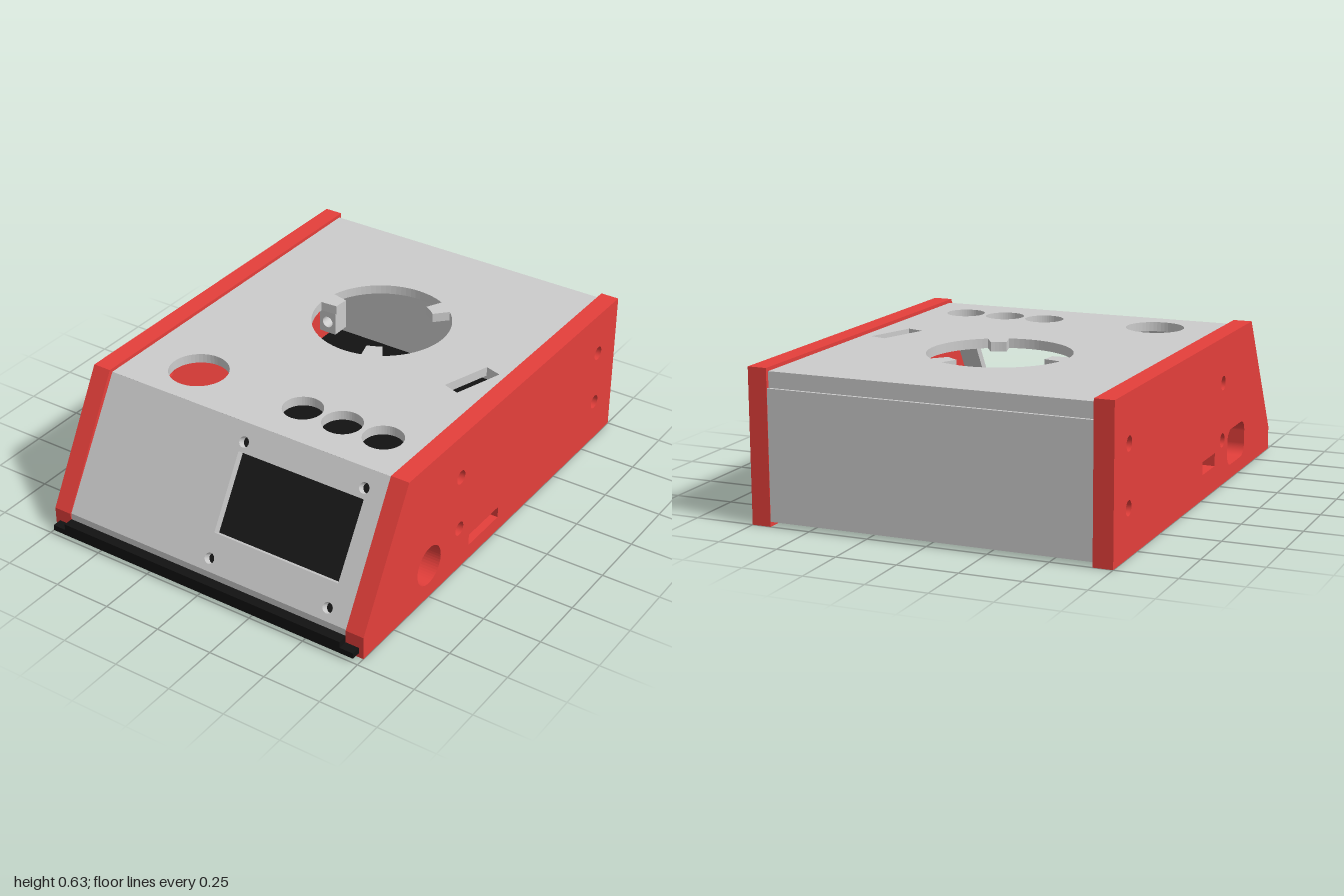
import * as THREE from 'three';

const material = (color) => new THREE.MeshStandardMaterial({ color });

function polygon(points, PathType = THREE.Path) {
  return new PathType(points.map(([x, y]) => new THREE.Vector2(x, y)));
}

function rect(x0, y0, x1, y1, PathType) {
  return polygon([[x0, y0], [x1, y0], [x1, y1], [x0, y1]], PathType);
}

function circle(x, y, r) {
  return new THREE.Path().absarc(x, y, r, 0, Math.PI * 2);
}

function roundedRect(x0, y0, x1, y1, r) {
  const p = new THREE.Path(), q = Math.PI / 2;
  p.absarc(x1 - r, y1 - r, r, 0, q);
  p.absarc(x0 + r, y1 - r, r, q, 2 * q);
  p.absarc(x0 + r, y0 + r, r, 2 * q, 3 * q);
  p.absarc(x1 - r, y0 + r, r, 3 * q, 4 * q);
  p.closePath();
  return p;
}

function extrude(shape, holes, depth) {
  shape.holes.push(...holes);
  return new THREE.ExtrudeGeometry(shape, { depth, bevelEnabled: false, curveSegments: 24 });
}

// Round opening with three locking tabs reaching inward
function tabbedOpening(cx, cy, outer, inner, tabAngles, halfWidth) {
  const points = [];
  tabAngles.forEach((angle, i) => {
    const next = tabAngles[(i + 1) % 3] + (i === 2 ? 360 : 0);
    const arc = (r, from, to, n) => {
      for (let k = 0; k <= n; k++) {
        const a = THREE.MathUtils.degToRad(from + (to - from) * k / n);
        points.push([cx + r * Math.cos(a), cy + r * Math.sin(a)]);
      }
    };
    arc(inner, angle - halfWidth, angle + halfWidth, 4);
    arc(outer, angle + halfWidth, next - halfWidth, 24);
  });
  return polygon(points);
}

export function createModel() {
  const model = new THREE.Group();
  const grey = material(0xcccccc), red = material(0xe53f3b), black = material(0x121212);

  function add(name, geometry, mat) {
    const mesh = new THREE.Mesh(geometry, mat);
    mesh.name = name;
    model.add(mesh);
    return mesh;
  }
  function box(name, mat, x0, x1, y0, y1, z0, z1) {
    add(name, new THREE.BoxGeometry(x1 - x0, y1 - y0, z1 - z0), mat)
      .position.set((x0 + x1) / 2, (y0 + y1) / 2, (z0 + z1) / 2);
  }
  // Shape drawn in (z, y), extruded from x toward -x
  function sideways(name, shape, holes, depth, x, mat) {
    const mesh = add(name, extrude(shape, holes, depth), mat);
    mesh.rotation.y = -Math.PI / 2;
    mesh.position.x = x;
  }

  // Side panels, each with four screw holes and its own port openings
  const ports = {
    left: [circle(0.5, 0.15, 0.085), rect(-0.03, 0.065, 0.2, 0.115)],
    right: [roundedRect(0.35, 0.06, 0.59, 0.215, 0.05), rect(0.02, 0.105, 0.18, 0.16)],
  };
  for (const side of ['left', 'right']) {
    const outline = polygon([[-1, 0], [0.96, 0], [0.96, 0.1], [0.66, 0.63], [-1, 0.63]], THREE.Shape);
    const screws = [];
    for (const z of [-0.845, 0.278]) for (const y of [0.192, 0.436]) screws.push(circle(z, y, 0.03));
    sideways(side + 'SidePanel', outline, [...screws, ...ports[side]], 0.08, side === 'left' ? 0.75 : -0.67, red);
  }

  // Top panel, drawn in (x, -z)
  const topHoles = [
    tabbedOpening(0, 0.31, 0.295, 0.22, [55, 175, 295], 8.5),
    circle(-0.39, -0.44, 0.124),
    ...[0.12, 0.306, 0.494].map((x) => circle(x, -0.44, 0.083)),
    polygon([[0.49, 0.015], [0.56, -0.007], [0.63, 0.205], [0.56, 0.226]]),
  ];
  const top = add('topPanel', extrude(rect(-0.67, -0.645, 0.67, 0.985, THREE.Shape), topHoles, 0.04), grey);
  top.rotation.x = -Math.PI / 2;
  top.position.y = 0.575;

  // Hollow clip hanging below the side tab
  const clip = add('clip', extrude(rect(-0.04, -0.05, 0.04, 0.05, THREE.Shape), [circle(0, 0, 0.025)], 0.08), grey);
  clip.position.set(-0.265, 0.525, -0.375);

  // Sloped front panel with screen window and screw holes
  const frontHoles = [rect(0, 0.152, 0.58, 0.484)];
  for (const x of [0.012, 0.568]) for (const s of [0.05, 0.525]) frontHoles.push(circle(x, s, 0.022));
  const frontGeometry = extrude(rect(-0.67, 0, 0.67, 0.601, THREE.Shape), frontHoles, 0.035);
  frontGeometry.translate(0, 0, -0.035);
  const front = add('frontPanel', frontGeometry, grey);
  front.rotation.x = -Math.atan2(0.31, 0.515);
  front.position.set(0, 0.1, 0.955);
  box('frontSkirt', grey, -0.67, 0.67, 0.045, 0.1, 0.92, 0.955);

  // Back wall and the lip above it
  box('backWall', grey, -0.67, 0.67, 0.02, 0.55, -0.998, -0.955);
  box('backLip', grey, -0.67, 0.67, 0.55, 0.576, -0.985, -0.945);

  // Base plate sliding in the side panels, with a front lip
  box('basePlate', black, -0.73, 0.73, 0.02, 0.045, -0.955, 1);
  box('baseLip', black, -0.67, 0.67, 0.045, 0.072, 0.956, 1);

  // Supports standing on the base
  box('portBlock', black, 0.54, 0.67, 0.045, 0.275, -0.04, 0.21);
  const cradle = polygon([[0.4, 0.045], [0.6, 0.045], [0.6, 0.15], [0.555, 0.15]], THREE.Shape);
  cradle.absarc(0.5, 0.15, 0.055, 0, Math.PI, true);
  cradle.lineTo(0.4, 0.15);
  sideways('plugCradle', cradle, [], 0.06, 0.67, black);

  return model;
}
